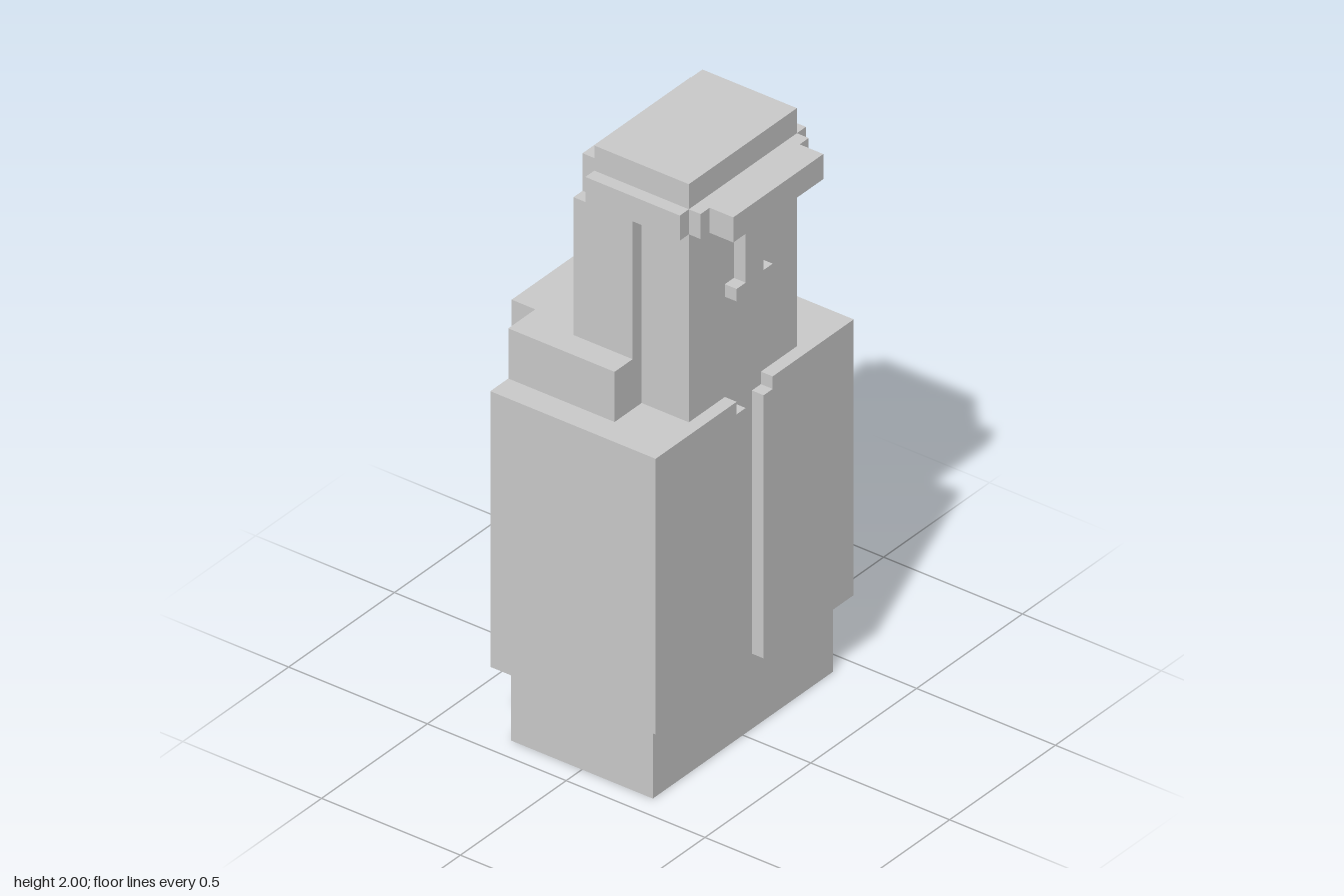
import * as THREE from 'three';

// Everything sits on a block grid that is 47 blocks tall
const U = 2 / 47;

export function createModel() {
  const model = new THREE.Group();
  const material = new THREE.MeshStandardMaterial({ color: 0xcccccc, flatShading: true });

  const add = (name, geometry) => {
    const mesh = new THREE.Mesh(geometry, material);
    mesh.name = name;
    model.add(mesh);
    return mesh;
  };

  // Block between two corners, in grid units
  const block = (name, [x0, x1], [y0, y1], [z0, z1]) => {
    const mesh = add(name, new THREE.BoxGeometry((x1 - x0) * U, (y1 - y0) * U, (z1 - z0) * U));
    mesh.position.set((x0 + x1) / 2 * U, (y0 + y1) / 2 * U, (z0 + z1) / 2 * U);
    return mesh;
  };

  // Outline in the front plane, extruded along z
  const slab = (name, points, z0, z1) => {
    const shape = new THREE.Shape(points.map(([x, y]) => new THREE.Vector2(x * U, y * U)));
    const mesh = add(name, new THREE.ExtrudeGeometry(shape, { depth: (z1 - z0) * U, bevelEnabled: false }));
    mesh.position.z = z0 * U;
    return mesh;
  };

  // Legs and coat
  block('legs', [-10, 10], [0, 6], [-6, 6]);
  block('coat', [-11, 11], [6, 28], [-7, 6]);

  // Coat fronts, split down the middle and notched at the neck
  for (const s of [-1, 1]) {
    const outline = [[1, 6], [11, 6], [11, 28], [2, 28], [2, 27], [1, 27]];
    slab(s > 0 ? 'leftCoatFront' : 'rightCoatFront', outline.map(([x, y]) => [s * x, y]), 6, 7);
  }

  // Collar with the hood hanging behind it
  block('collar', [-9, 9], [28, 32], [-7, 2]);
  block('hood', [-6, 6], [27, 32], [-9, -7]);

  // Head
  block('head', [-6, 6], [28, 47], [-2, 6]);
  slab('nose', [[-2, 36], [2, 36], [2, 37], [1, 37], [1, 42], [-1, 42], [-1, 37], [-2, 37]], 6, 7);

  // Hair at the back and sides
  block('backHair', [-6, 6], [32, 46], [-3, -2]);
  for (const s of [-1, 1]) {
    const side = s > 0 ? 'left' : 'right';
    const span = s > 0 ? [6, 7] : [-7, -6];
    block(side + 'Hair', span, [32, 43], [-3, 2]);
    block(side + 'HatBand', span, [43, 45], [-2, 6]);
  }

  // Front of the hat band and the brim
  block('frontHatBand', [-6, 6], [43, 45], [6, 7]);
  block('hatBrim', [-5, 5], [43, 45], [7, 9]);

  return model;
}
